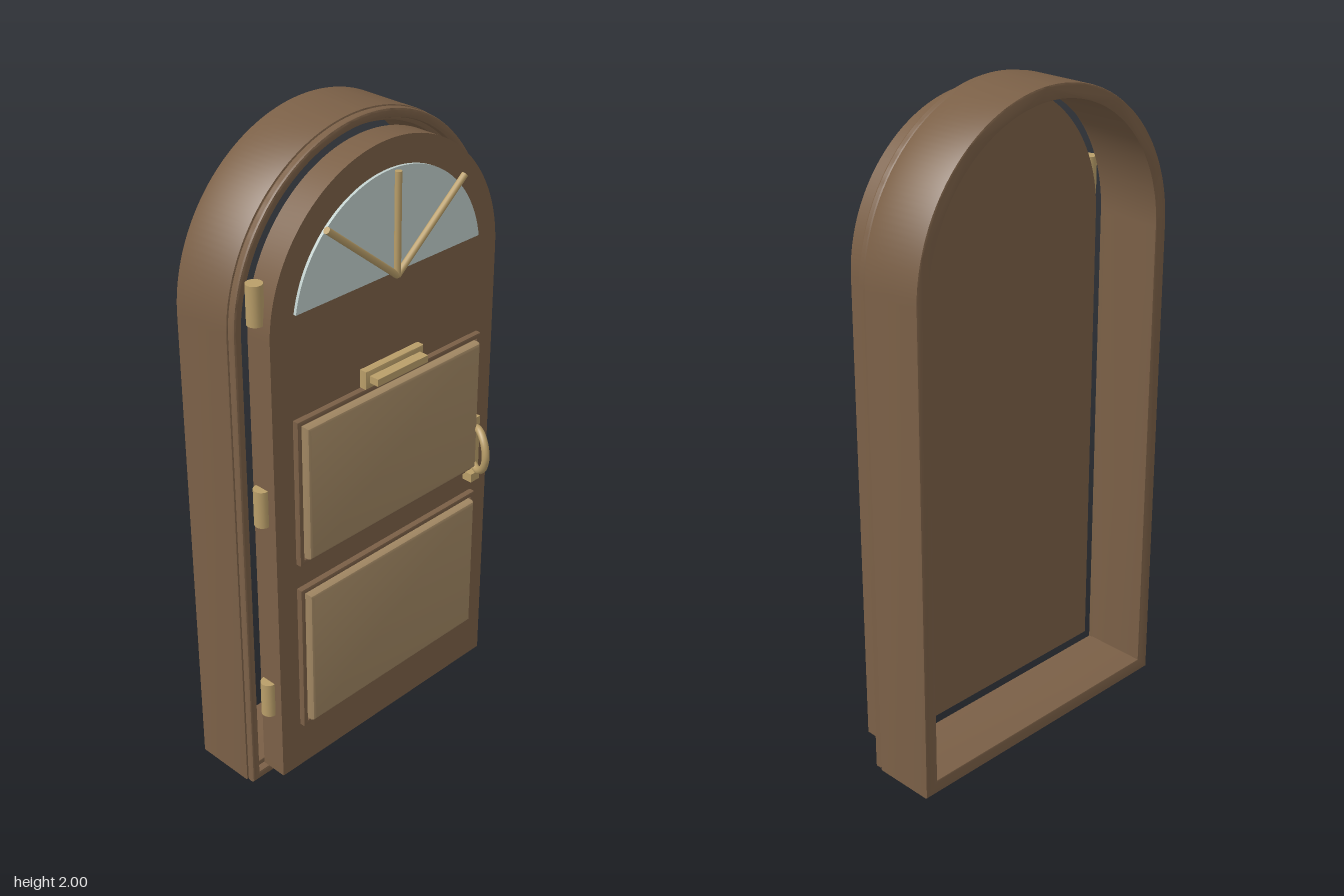
import * as THREE from 'three';
import { toCreasedNormals } from 'three/addons/utils/BufferGeometryUtils.js';

const ARCH_Y = 1.51; // height of the arch centre

export function createModel() {
  const model = new THREE.Group();
  model.name = 'archedDoor';

  const material = (name, color) => {
    const m = new THREE.MeshStandardMaterial({ color });
    m.name = name;
    return m;
  };
  const wood = material('brown wood', 0x7b6047);
  const panelWood = material('light panel wood', 0xa08662);
  const brass = material('brass', 0xb99e69);
  const glass = material('pale glass', 0xbfcecb);

  const add = (name, geometry, mat, parent = model) => {
    const mesh = new THREE.Mesh(geometry, mat);
    mesh.name = name;
    parent.add(mesh);
    return mesh;
  };

  // Outline of a rectangle with a semicircular top
  const archShape = (r, bottom, Type = THREE.Shape) => {
    const s = new Type();
    s.moveTo(-r, bottom);
    s.lineTo(r, bottom);
    s.lineTo(r, ARCH_Y);
    s.absarc(0, ARCH_Y, r, 0, Math.PI, false);
    s.closePath();
    return s;
  };
  const rectShape = (w, y0, y1, Type = THREE.Shape) => {
    const s = new Type();
    s.moveTo(-w, y0);
    s.lineTo(w, y0);
    s.lineTo(w, y1);
    s.lineTo(-w, y1);
    s.closePath();
    return s;
  };
  // Extrude between two depths, with the bevel kept inside the outline
  const slab = (shape, z0, z1, bevel = 0) => {
    const g = new THREE.ExtrudeGeometry(shape, {
      depth: z1 - z0 - 2 * bevel, curveSegments: 40,
      bevelEnabled: bevel > 0, bevelThickness: bevel, bevelSize: bevel,
      bevelOffset: -bevel, bevelSegments: 2,
    });
    g.translate(0, 0, z0 + bevel);
    return toCreasedNormals(g, 0.5);
  };
  const box = (x0, x1, y0, y1, z0, z1) => {
    const g = new THREE.BoxGeometry(x1 - x0, y1 - y0, z1 - z0);
    return g.translate((x0 + x1) / 2, (y0 + y1) / 2, (z0 + z1) / 2);
  };

  // Frame with a raised trim on its front
  const frame = archShape(0.49, 0);
  frame.holes.push(archShape(0.446, 0.044, THREE.Path));
  add('frame', slab(frame, -0.21, -0.01, 0.005), wood);
  const trim = archShape(0.487, 0.003);
  trim.holes.push(archShape(0.459, 0.031, THREE.Path));
  add('frameTrim', slab(trim, -0.011, 0.016, 0.007), wood);

  // Door leaf
  add('doorLeaf', slab(archShape(0.44, 0.055), 0.015, 0.1), wood);

  // Raised panels, each within a moulding
  for (const [name, y0, y1] of [['lower', 0.215, 0.71], ['upper', 0.795, 1.26]]) {
    const moulding = rectShape(0.368, y0, y1);
    moulding.holes.push(rectShape(0.352, y0 + 0.016, y1 - 0.016, THREE.Path));
    add(name + 'Moulding', slab(moulding, 0.099, 0.12, 0.004), wood);
    add(name + 'Panel', slab(rectShape(0.348, y0 + 0.02, y1 - 0.02), 0.099, 0.14, 0.01), panelWood);
  }

  // Fan window: circle segment cut off just above the arch centre
  const cut = Math.asin(0.06 / 0.36);
  const pane = new THREE.Shape();
  pane.absarc(0, ARCH_Y, 0.36, cut, Math.PI - cut, false);
  pane.closePath();
  add('windowPane', slab(pane, 0.1, 0.109), glass);

  // Round glazing bars spreading from the middle of the sill
  for (const [x, y] of [[-0.262, 1.785], [0, 1.87], [0.262, 1.785]]) {
    const path = new THREE.LineCurve3(new THREE.Vector3(0, 1.572, 0.13), new THREE.Vector3(x, y, 0.13));
    const bar = new THREE.CylinderGeometry(0.01, 0.01, path.getLength(), 12);
    const mesh = add('glazingBar', bar, brass);
    mesh.position.copy(path.getPoint(0.5));
    mesh.rotation.z = -Math.atan2(x, y - 1.572);
  }

  // Letter slot with a projecting flap
  const slot = new THREE.Group();
  slot.name = 'letterSlot';
  model.add(slot);
  add('slotPlate', slab(rectShape(0.115, 1.262, 1.318), 0.1, 0.126, 0.004), brass, slot);
  add('slotFlap', box(-0.1, 0.1, 1.279, 1.301, 0.12, 0.157), brass, slot);

  // Handle: back plate, small latch block and curved grip
  const handle = new THREE.Group();
  handle.name = 'handle';
  model.add(handle);
  add('handlePlate', box(0.35, 0.373, 0.772, 0.98, 0.1, 0.127), brass, handle);
  add('latchBlock', box(0.322, 0.36, 0.772, 0.8, 0.11, 0.144), brass, handle);
  const grip = new THREE.CatmullRomCurve3([
    [0.357, 0.945, 0.12], [0.345, 0.95, 0.15], [0.332, 0.925, 0.181], [0.327, 0.88, 0.194],
    [0.332, 0.835, 0.181], [0.345, 0.81, 0.15], [0.357, 0.815, 0.12],
  ].map((p) => new THREE.Vector3(...p)));
  add('handleGrip', new THREE.TubeGeometry(grip, 32, 0.012, 10), brass, handle);

  // Hinge barrels
  for (const y of [0.333, 1.0, 1.615]) {
    const barrel = new THREE.CylinderGeometry(0.024, 0.024, 0.116, 20);
    add('hinge', barrel, brass).position.set(-0.442, y, 0.05);
  }

  return model;
}
